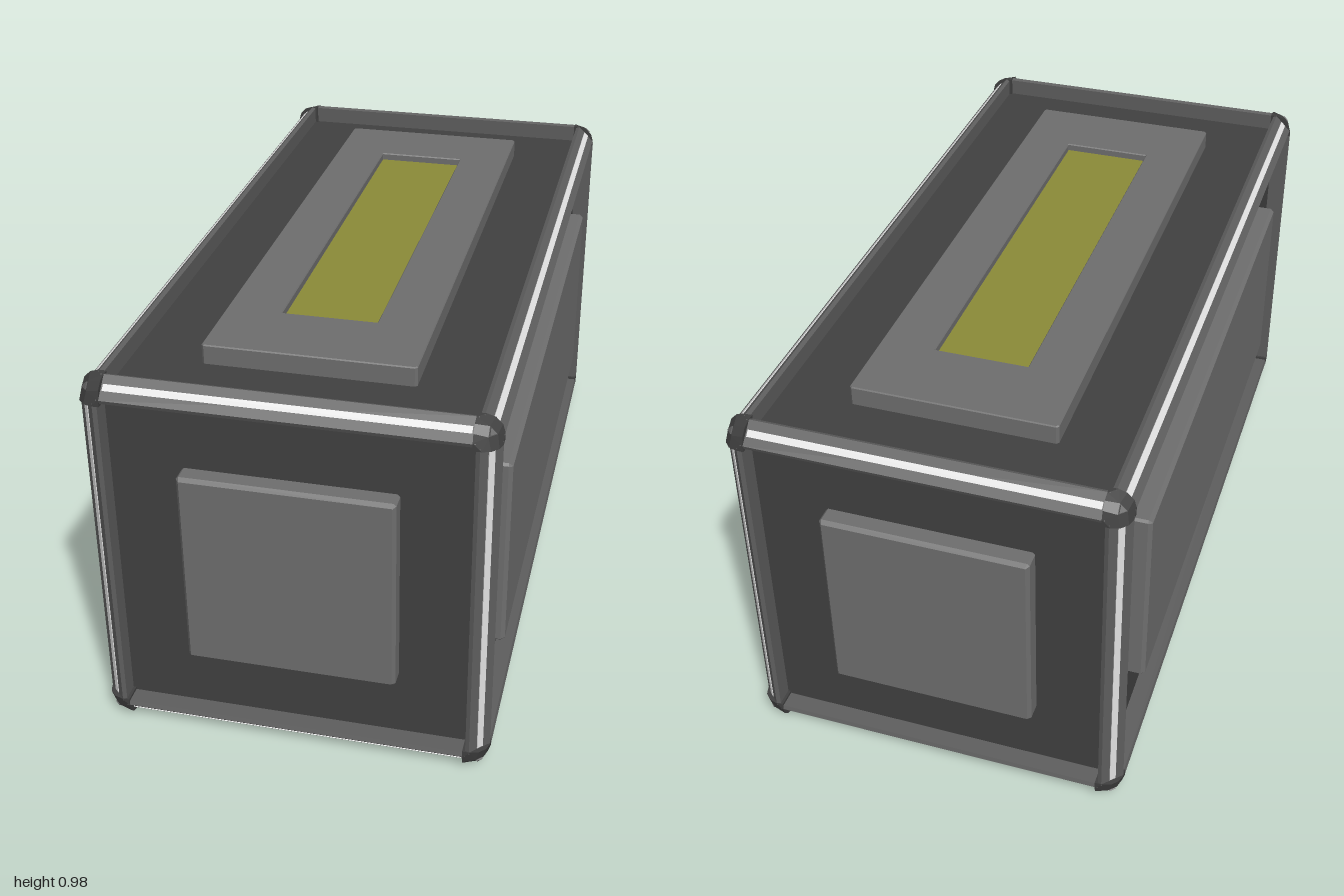
import * as THREE from 'three';
import { ConvexGeometry } from 'three/addons/geometries/ConvexGeometry.js';

const H = [0.49, 0.49, 1]; // half sizes in x, y, z
const mat = (name, color) => new THREE.MeshStandardMaterial({ name, color });

export function createModel() {
  const panelDark = mat('panelDark', 0x404040);
  const padGrey = mat('padGrey', 0x6e6e6e);
  const frameGrey = mat('frameGrey', 0x5e5e5e);
  const stripLight = mat('stripLight', 0xe2e2e2);
  const olive = mat('olive', 0x8b8b38);

  const model = new THREE.Group();
  model.name = 'crate';
  const body = new THREE.Group();
  body.name = 'crateBody';
  body.position.y = 0.494;
  model.add(body);

  const add = (parent, name, geometry, material) => {
    const mesh = new THREE.Mesh(geometry, material);
    mesh.name = name;
    parent.add(mesh);
    return mesh;
  };

  // Rectangle with slightly cut corners
  const cutRect = (w, h, c) => [
    [w - c, -h], [w, -h + c], [w, h - c], [w - c, h],
    [-w + c, h], [-w, h - c], [-w, -h + c], [-w + c, -h],
  ].map(p => new THREE.Vector2(...p));

  // Raised plate whose outer face lies at z = 0
  const padGeometry = (w, h, bevel, hole) => {
    const shape = new THREE.Shape(cutRect(w, h, 0.006));
    if (hole) shape.holes.push(new THREE.Path(cutRect(hole[0], hole[1], 0.001).reverse()));
    const depth = 0.055;
    return new THREE.ExtrudeGeometry(shape, {
      depth: depth - bevel, bevelEnabled: true, bevelThickness: bevel,
      bevelSize: bevel * 0.8, bevelOffset: -bevel * 0.8, bevelSegments: 1,
    }).translate(0, 0, -depth);
  };

  // Recessed wall panels
  const inset = 0.05;
  add(body, 'wallPanels', new THREE.BoxGeometry(...H.map(h => 2 * (h - inset))), panelDark);

  // Chamfered edge rail section, outer corner at the origin
  const c = 0.045;
  const railShape = new THREE.Shape([
    [-0.055, -0.055], [-0.004, -0.055], [0, -c], [-c, 0], [-0.055, -0.004],
  ].map(p => new THREE.Vector2(...p)));

  const unit = [0, 1, 2].map(i => new THREE.Vector3().setComponent(i, 1));
  for (let n = 0; n < 3; n++) {
    const a = (n + 1) % 3, b = (n + 2) % 3;
    const axis = new THREE.Group();
    axis.name = ['sideAxis', 'verticalAxis', 'lengthAxis'][n];
    axis.quaternion.setFromRotationMatrix(new THREE.Matrix4().makeBasis(unit[a], unit[b], unit[n]));
    body.add(axis);

    // Four rails along this axis, each with a light strip
    const half = H[n] - 0.055;
    const railGeo = new THREE.ExtrudeGeometry(railShape, { depth: 2 * half, bevelEnabled: false })
      .translate(0, 0, -half);
    const stripGeo = new THREE.BoxGeometry(0.017, 0.004, 2 * (H[n] - 0.066));
    for (let k = 0; k < 4; k++) {
      const rail = new THREE.Group();
      rail.name = 'edgeRail';
      rail.position.set(k === 1 || k === 2 ? -H[a] : H[a], k > 1 ? -H[b] : H[b], 0);
      rail.rotation.z = k * Math.PI / 2;
      axis.add(rail);
      add(rail, 'railBar', railGeo, frameGrey);
      const strip = add(rail, 'edgeStrip', stripGeo, stripLight);
      strip.position.set(-c / 2, -c / 2, 0);
      strip.rotation.z = -Math.PI / 4;
    }

    // Raised pads on both faces; the top one has an olive inlay
    for (const s of [1, -1]) {
      const w = H[a] - 0.23, h = H[b] - 0.23;
      const isTop = n === 1 && s === 1;
      const face = new THREE.Group();
      face.name = isTop ? 'topFace' : 'face';
      face.position.z = s * H[n];
      if (s < 0) face.rotation.x = Math.PI;
      axis.add(face);
      const hole = isTop ? [h === w ? w : 0.565, 0.12] : null;
      add(face, 'raisedPad', padGeometry(w, h, isTop ? 0.003 : 0.01, hole), padGrey);
      if (isTop) {
        add(face, 'oliveInlay', new THREE.BoxGeometry(1.135, 0.245, 0.008), olive).position.z = -0.024;
      }
    }
  }

  // Faceted corner caps, each with a small triangular plate
  const permute = ([p, q, r]) => [[p, q, r], [q, r, p], [r, p, q], [p, r, q], [r, q, p], [q, p, r]];
  const capPoints = [
    ...[[0, 0.042, 0.062], [0.006, 0.022, 0.062], [0.012, 0.03, 0.03],
      [0, 0.062, 0.062], [0.062, 0.062, 0.062]].flatMap(permute),
  ];
  for (const sx of [1, -1]) for (const sy of [1, -1]) for (const sz of [1, -1]) {
    const s = [sx, sy, sz];
    const place = p => new THREE.Vector3(...p.map((v, i) => s[i] * (H[i] - v)));
    add(body, 'cornerCap', new ConvexGeometry(capPoints.map(place)), panelDark);
    const tri = [[0.014, 0.0275, 0.0275], [0.0275, 0.014, 0.0275], [0.0275, 0.0275, 0.014]];
    const plate = tri.flatMap(p => [p.map(v => v - 0.001), p.map(v => v + 0.002)]);
    add(body, 'cornerPlate', new ConvexGeometry(plate.map(place)), frameGrey);
  }

  return model;
}
